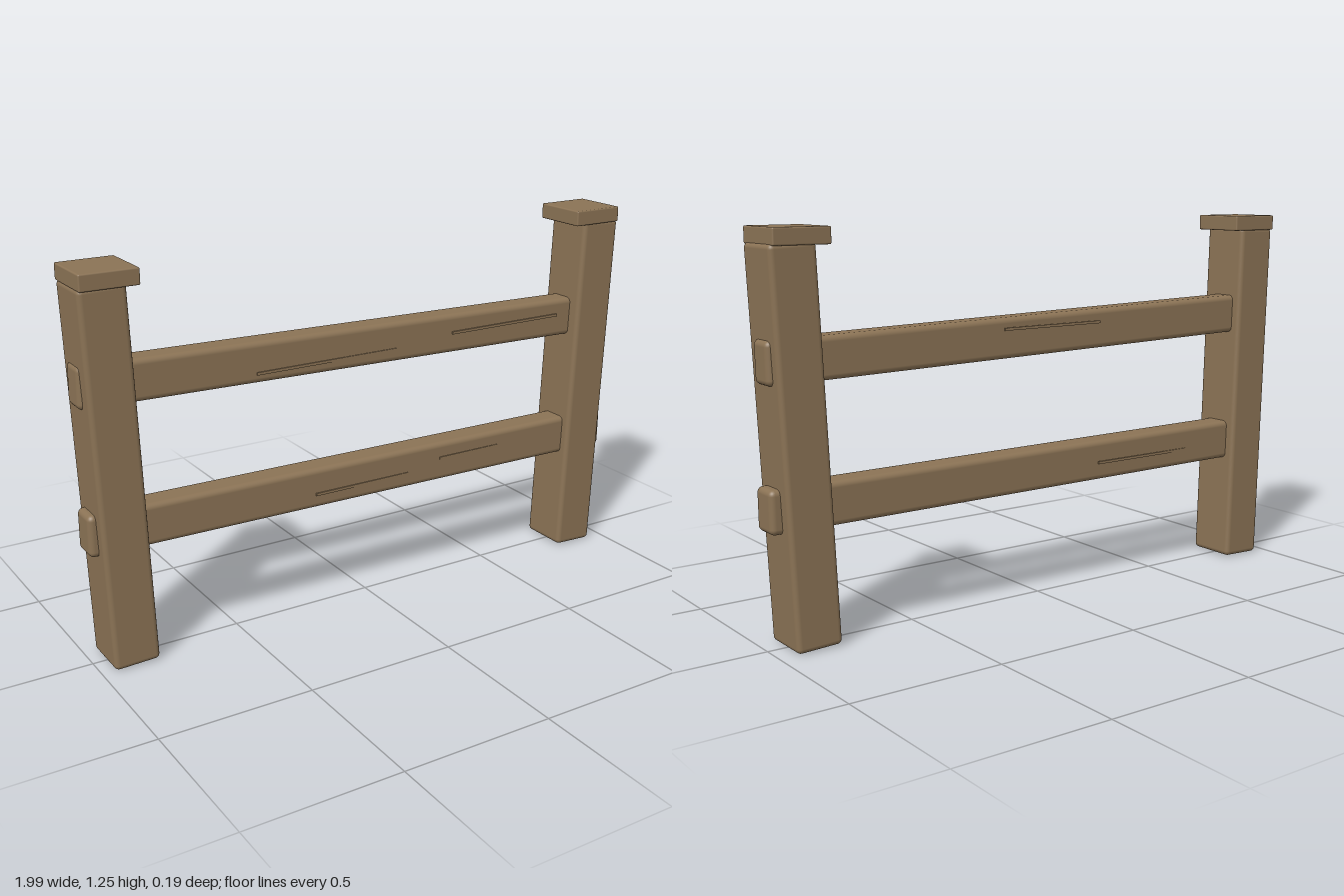
import * as THREE from 'three';
import { RoundedBoxGeometry } from 'three/addons/geometries/RoundedBoxGeometry.js';

export function createModel() {
  const model = new THREE.Group();
  model.name = 'woodenFence';
  const wood = new THREE.MeshStandardMaterial({ color: 0x8b7355 });
  wood.name = 'weatheredWood';

  // Softly rounded timber block, optionally leaning (rz) and turned (ry)
  function timber(name, size, pos, radius, rz = 0, ry = 0) {
    const mesh = new THREE.Mesh(new RoundedBoxGeometry(...size, 3, radius), wood);
    mesh.name = name;
    mesh.position.set(...pos);
    mesh.rotation.set(0, ry, rz);
    model.add(mesh);
    return mesh;
  }

  // Posts lean outwards, each under a level cap
  for (const [side, x, lean] of [['right', -0.903, 0.033], ['left', 0.893, -0.043]]) {
    timber(side + 'Post', [0.15, 1.21, 0.177], [x, 0.609, 0], 0.016, lean);
    timber(side + 'Cap', [0.185, 0.052, 0.193], [x, 1.231, 0.001], 0.005);
  }

  // Rails run through both posts, with slight sag and turn
  timber('upperRail', [1.992, 0.133, 0.094], [-0.002, 0.888, -0.006], 0.018, -0.02, -0.002);
  timber('lowerRail', [1.992, 0.136, 0.1], [-0.002, 0.436, 0.001], 0.018, -0.007, -0.006);

  // Thin raised grain strips: start x, end x, y, z
  const grain = [
    [-0.42, 0.1, 0.862, 0.04],
    [0.32, 0.77, 0.885, 0.043],
    [-0.22, 0.14, 0.418, 0.05],
    [0.27, 0.52, 0.447, 0.052],
    [-0.22, 0.17, 0.915, -0.054],
    [-0.62, -0.22, 0.43, -0.052],
  ];
  grain.forEach(([x0, x1, y, z], i) => {
    const strip = new THREE.Mesh(new THREE.BoxGeometry(x1 - x0, 0.009, 0.009), wood);
    strip.name = 'grainStrip' + (i + 1);
    strip.position.set((x0 + x1) / 2, y, z);
    model.add(strip);
  });

  return model;
}
